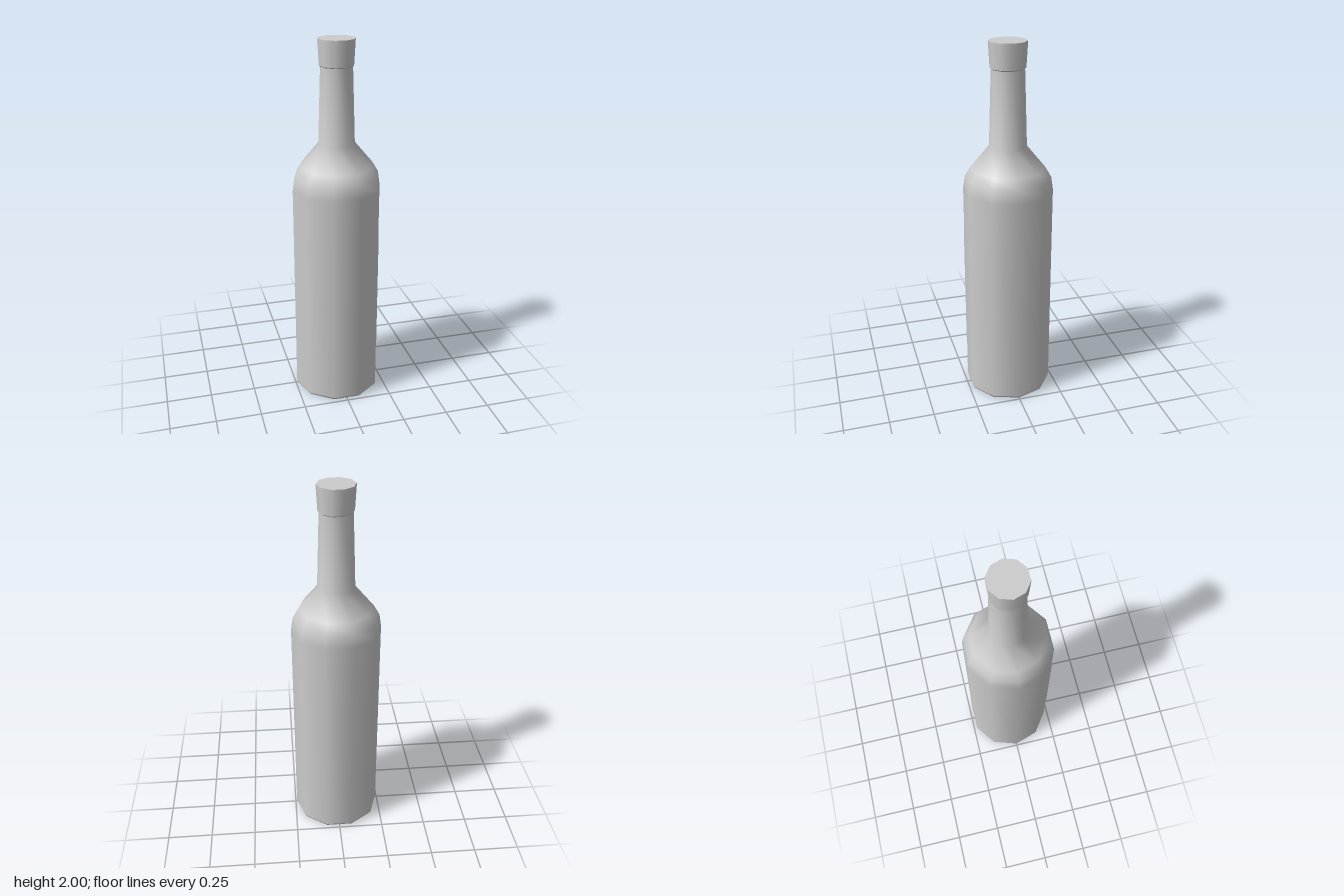
import * as THREE from 'three';

const SIDES = 10;
const STEP = (Math.PI * 2) / SIDES;

export function createModel() {
  const bottle = new THREE.Group();
  bottle.name = 'bottle';
  const glass = new THREE.MeshStandardMaterial({ color: 0xcccccc });
  const paper = new THREE.MeshStandardMaterial({ color: 0xcccccc, side: THREE.DoubleSide });

  // Ten-sided revolve with a corner on the x axis; profile is [radius, y] going up
  function revolve(name, profile, material = glass, start = STEP / 2, sides = SIDES) {
    const points = profile.map(([r, y]) => new THREE.Vector2(r, y));
    const mesh = new THREE.Mesh(new THREE.LatheGeometry(points, sides, start, sides * STEP), material);
    mesh.name = name;
    mesh.position.z = -0.001;
    bottle.add(mesh);
  }

  // Base and its small bevel
  revolve('base', [[0, 0], [0.236, 0]]);
  revolve('baseBevel', [[0.236, 0], [0.2425, 0.012]]);

  // Straight body, rounded shoulder and tapering neck
  revolve('body', [
    [0.2425, 0.012], [0.2425, 1.21], [0.232, 1.28], [0.2, 1.335],
    [0.1, 1.455], [0.087, 1.86],
  ]);

  // Lip: underside step, flared collar and closed top
  revolve('lipUnderside', [[0.087, 1.86], [0.093, 1.865]]);
  revolve('lip', [[0.093, 1.865], [0.1, 1.99], [0.1, 2]]);
  revolve('top', [[0.1, 2], [0, 2]]);

  // Label wrapped over the three front sides
  revolve('label', [[0.2447, 0.26], [0.2447, 0.96]], paper, -1.5 * STEP, 3);

  return bottle;
}
